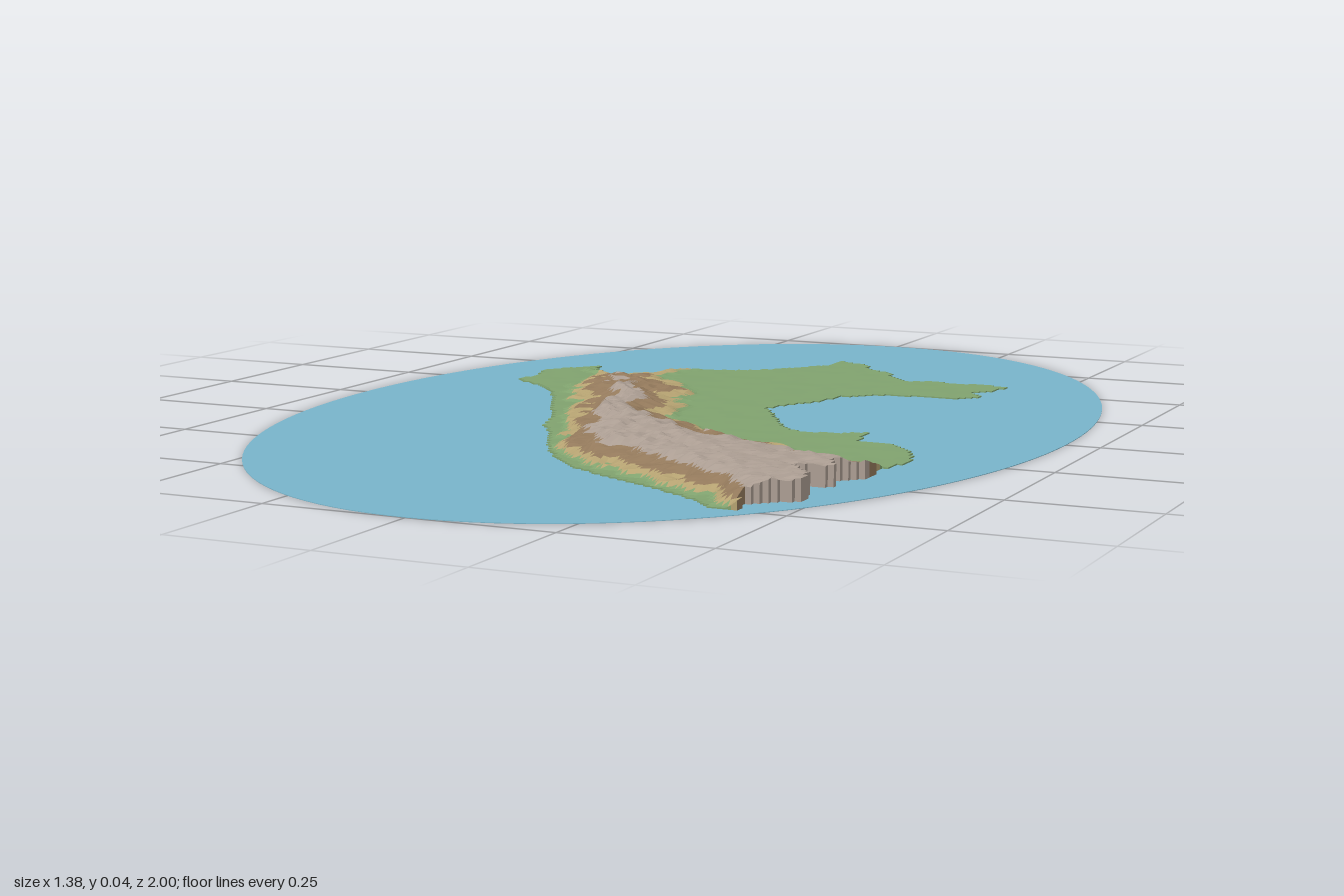
import * as THREE from 'three';

// Coastline and border, in hundredths of a unit (x, z pairs)
const COAST = [
  -2, -74, 5, -71, 7, -66, 13, -63, 15, -58, 20, -54, 24, -56, 30, -55, 35, -56, 40, -55, 39, -50, 36, -46,
  40, -42, 35, -38, 29, -38, 20, -36, 15, -31, 14, -25, 10, -18, 8, -13, 12, -7, 16, 0, 20, 6, 24, 8,
  30, 7, 35, 4, 36, 13, 42, 13, 47, 17, 50, 23, 51, 28, 49, 36, 50, 43, 46, 48, 48, 52, 42, 54,
  47, 59, 48, 65, 44, 67, 41, 71, 42, 75, 38, 75, 32, 70, 24, 65, 14, 60, 5, 55, -2, 49, -7, 42,
  -11, 35, -15, 27, -20, 20, -23, 11, -29, 0, -33, -8, -38, -16, -44, -21, -50, -25, -49, -31, -51, -38, -47, -44,
  -43, -47, -42, -40, -33, -35, -30, -40, -26, -48, -21, -52, -14, -54, -10, -58, -5, -64, -2, -68,
];
// Feet of the mountain range: west side going south, east side going north
const WEST_FOOT = [-44, -40, -38, -34, -36, -21, -30, -10, -24, 0, -20, 11, -16, 20, -11, 29, -8, 38, 0, 48, 14, 57, 30, 66, 40, 75];
const EAST_FOOT = [60, 34, 49, 35, 38, 32, 27, 25, 16, 21, 6, 12, -1, 8, -5, -5, -9, -16, -14, -29, -21, -34, -25, -40, -21, -51, -28, -47, -32, -35, -37, -40];

const points = (list) => {
  const out = [];
  for (let i = 0; i < list.length; i += 2) out.push([list[i] / 100, list[i + 1] / 100]);
  return out;
};
const coast = points(COAST), west = points(WEST_FOOT), east = points(EAST_FOOT);
const range = [...west, [0.6, 0.8], ...east];

function inside(poly, x, z) {
  let hit = false;
  for (let i = 0, j = poly.length - 1; i < poly.length; j = i++) {
    const [ax, az] = poly[i], [bx, bz] = poly[j];
    if ((az > z) !== (bz > z) && x < ((bx - ax) * (z - az)) / (bz - az) + ax) hit = !hit;
  }
  return hit;
}

function distanceTo(line, x, z) {
  let best = 9;
  for (let i = 1; i < line.length; i++) {
    const [ax, az] = line[i - 1], dx = line[i][0] - ax, dz = line[i][1] - az;
    const t = THREE.MathUtils.clamp(((x - ax) * dx + (z - az) * dz) / (dx * dx + dz * dz), 0, 1);
    best = Math.min(best, Math.hypot(x - ax - t * dx, z - az - t * dz));
  }
  return best;
}

// Seeded value noise in 0..1
function hash(i, j) {
  const s = Math.sin(i * 127.1 + j * 311.7) * 43758.5453;
  return s - Math.floor(s);
}
function noise(x, z) {
  const i = Math.floor(x), j = Math.floor(z), u = x - i, v = z - j;
  const lerp = THREE.MathUtils.lerp;
  return lerp(lerp(hash(i, j), hash(i + 1, j), u), lerp(hash(i, j + 1), hash(i + 1, j + 1), u), v);
}

const SEA_TOP = 0.001, PLAIN = 0.003;

function landHeight(x, z) {
  // Ragged foothills from a small warp, then ridges running across the range
  const wx = x + (noise(x * 35, z * 35) - 0.5) * 0.05;
  const wz = z + (noise(x * 35 + 50, z * 35) - 0.5) * 0.05;
  const plain = PLAIN + noise(x * 30, z * 30) * 0.0006;
  if (!inside(range, wx, wz)) return plain;
  const rise = Math.min(1, distanceTo(west, wx, wz) / 0.085, distanceTo(east, wx, wz) / 0.12);
  const crest = THREE.MathUtils.lerp(0.023, 0.034, THREE.MathUtils.smoothstep(z, -0.3, 0.08));
  const a = x + z, b = x - z;
  const ridges = noise(a * 22, b * 48) * 0.6 + noise(a * 60 + 9, b * 80) * 0.4;
  const calm = THREE.MathUtils.lerp(1, 0.55, THREE.MathUtils.smoothstep(x, 0.1, 0.3));
  const h = plain + Math.pow(rise, 0.8) * (crest + (ridges - 0.5) * 0.022 * calm);
  return Math.min(h, 0.044);
}

// Elevation bands, lowest first
const BANDS = [
  { name: 'lowland', top: 0.007, color: 0x80a26e },
  { name: 'foothills', top: 0.015, color: 0xb5a271 },
  { name: 'highland', top: 0.027, color: 0x93795b },
  { name: 'plateau', top: 1, color: 0xab9d92 },
];

export function createModel() {
  const model = new THREE.Group();
  model.name = 'reliefMap';

  // Oval sea
  const seaMaterial = new THREE.MeshStandardMaterial({ color: 0x78b4ca });
  seaMaterial.name = 'sea blue';
  const sea = new THREE.Mesh(new THREE.CylinderGeometry(1, 1, SEA_TOP, 128), seaMaterial);
  sea.name = 'sea';
  sea.scale.x = 0.69;
  sea.position.y = SEA_TOP / 2;
  model.add(sea);

  // Land as a grid of faceted cells, each triangle sorted into its elevation band
  const step = 0.01, x0 = -0.54, z0 = -0.77, nx = 108, nz = 154;
  const heights = [];
  for (let j = 0; j <= nz; j++) for (let i = 0; i <= nx; i++) heights.push(landHeight(x0 + i * step, z0 + j * step));
  const corner = (i, j) => [x0 + i * step, heights[j * (nx + 1) + i], z0 + j * step];
  const isLand = (i, j) => inside(coast, x0 + (i + 0.5) * step, z0 + (j + 0.5) * step);
  const vertices = BANDS.map(() => []);
  const addTriangle = (a, b, c, level = (a[1] + b[1] + c[1]) / 3) => {
    vertices[BANDS.findIndex((band) => level < band.top)].push(...a, ...b, ...c);
  };
  // Cliff from a cell edge down to the sea
  const addCliff = (a, b) => {
    const level = (a[1] + b[1]) / 2;
    const c = [b[0], SEA_TOP, b[2]], d = [a[0], SEA_TOP, a[2]];
    addTriangle(a, d, c, level);
    addTriangle(a, c, b, level);
  };
  for (let j = 0; j < nz; j++) {
    for (let i = 0; i < nx; i++) {
      if (!isLand(i, j)) continue;
      const a = corner(i, j), b = corner(i, j + 1), c = corner(i + 1, j + 1), d = corner(i + 1, j);
      addTriangle(a, b, d);
      addTriangle(b, c, d);
      if (!isLand(i - 1, j)) addCliff(a, b);
      if (!isLand(i, j + 1)) addCliff(b, c);
      if (!isLand(i + 1, j)) addCliff(c, d);
      if (!isLand(i, j - 1)) addCliff(d, a);
    }
  }

  BANDS.forEach((band, k) => {
    const geometry = new THREE.BufferGeometry();
    geometry.setAttribute('position', new THREE.Float32BufferAttribute(vertices[k], 3));
    geometry.computeVertexNormals();
    const material = new THREE.MeshStandardMaterial({ color: band.color, flatShading: true, side: THREE.DoubleSide });
    material.name = band.name + ' colour';
    const mesh = new THREE.Mesh(geometry, material);
    mesh.name = band.name;
    model.add(mesh);
  });
  return model;
}
